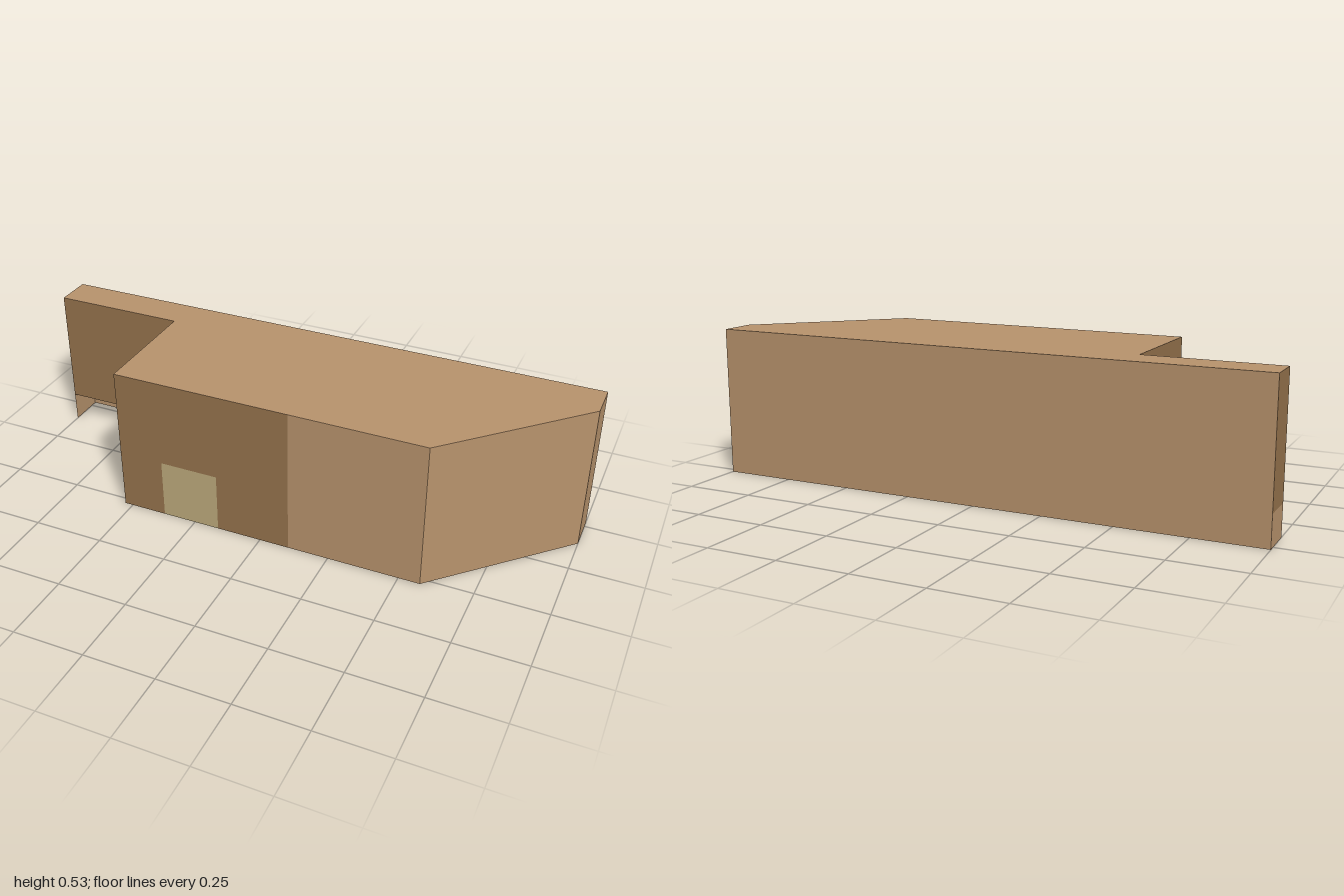
import * as THREE from 'three';

const H = 0.53;      // wall height
const GAP = 0.11;    // open height beneath the recessed walls
const DOOR = 0.215;  // door height
const BACK = -0.275, WING = -0.145, FRONT = 0.275;

const flat = (name, color) => {
  const m = new THREE.MeshStandardMaterial({ color, side: THREE.DoubleSide });
  m.name = name;
  return m;
};

export function createModel() {
  const group = new THREE.Group();
  group.name = 'building';
  const tan = flat('tan', 0xb8936d);
  const brown = flat('brown', 0x95734d);
  const pale = flat('paleYellow', 0xbdaa7c);

  // Upright panel from [x, z] to [x, z]; it faces outward when walked left to right
  function panel(name, material, [ax, az], [bx, bz], y0 = 0, y1 = H) {
    const dx = bx - ax, dz = bz - az;
    const mesh = new THREE.Mesh(new THREE.PlaneGeometry(Math.hypot(dx, dz), y1 - y0), material);
    mesh.position.set((ax + bx) / 2, (y0 + y1) / 2, (az + bz) / 2);
    mesh.rotation.y = -Math.atan2(dz, dx);
    mesh.name = name;
    group.add(mesh);
  }

  // Footprint, counter-clockwise from the back right corner
  const outline = [
    [-1, BACK], [-1, WING], [-0.53, WING], [-0.53, FRONT],
    [0.575, FRONT], [1, WING], [1, BACK],
  ];
  const [backRight, wingEnd, innerCorner, frontRight, frontLeft, chamferEnd, backLeft] = outline;

  // Roof
  const shape = new THREE.Shape(outline.map(([x, z]) => new THREE.Vector2(x, -z)));
  const roof = new THREE.Mesh(new THREE.ShapeGeometry(shape), tan);
  roof.rotation.x = -Math.PI / 2;
  roof.position.y = H;
  roof.name = 'roof';
  group.add(roof);

  // Wing end wall, with a tan base strip
  panel('wingEndWall', brown, backRight, wingEnd, GAP, H);
  panel('wingEndBase', tan, backRight, wingEnd, 0, GAP);

  // Recessed walls, open at the bottom
  panel('wingFrontWall', brown, wingEnd, innerCorner, GAP, H);
  panel('recessSideWall', brown, innerCorner, frontRight, GAP, H);

  // Front wall around the door
  const front = (x) => [x, FRONT];
  panel('frontWallRight', brown, frontRight, front(-0.37));
  panel('door', pale, front(-0.37), front(-0.16), 0, DOOR);
  panel('wallAboveDoor', brown, front(-0.37), front(-0.16), DOOR, H);
  panel('frontWallMiddle', brown, front(-0.16), front(0.105));
  panel('frontWallLeft', tan, front(0.105), frontLeft);

  // Angled wall, left end and back
  panel('angledWall', tan, frontLeft, chamferEnd);
  panel('leftEndWall', tan, chamferEnd, backLeft);
  panel('backWall', tan, backLeft, backRight);

  return group;
}
